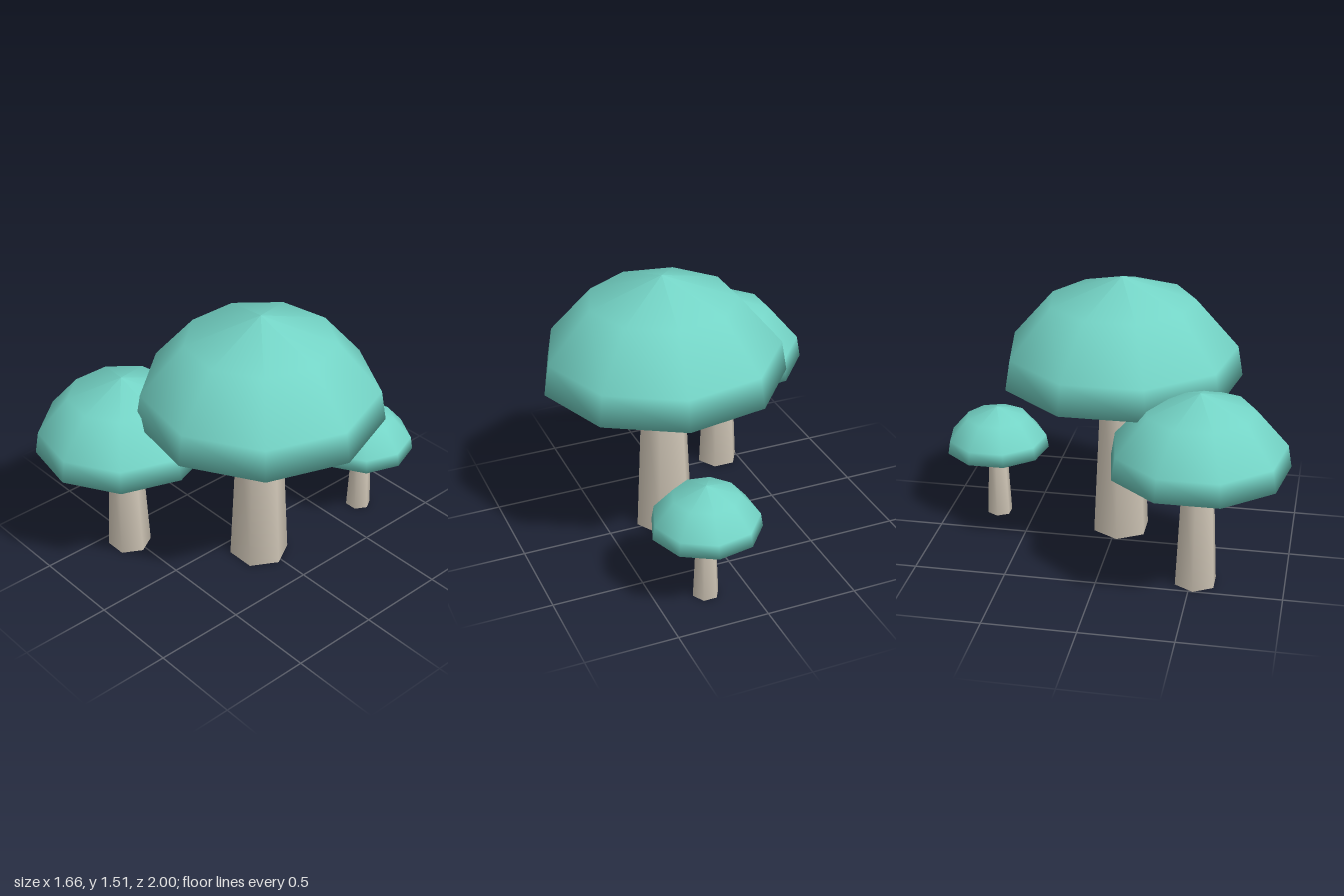
import * as THREE from 'three';

const capMaterial = new THREE.MeshStandardMaterial({ name: 'teal cap', color: 0x74d4c6 });
const stemMaterial = new THREE.MeshStandardMaterial({ name: 'cream stem', color: 0xd6ccbc });

// Smooth low-poly solid turned from [radius, height] pairs, first corner on +x
function turned(name, profile, sides, material) {
  const points = profile.map(([r, y]) => new THREE.Vector2(r, y));
  const mesh = new THREE.Mesh(new THREE.LatheGeometry(points, sides, Math.PI / 2), material);
  mesh.name = name;
  return mesh;
}

function createMushroom(name, x, z, scale) {
  const mushroom = new THREE.Group();
  mushroom.name = name;

  // Tapered six-sided stem, closed at the foot
  mushroom.add(turned('stem', [[0, 0], [0.165, 0], [0.12, 0.945]], 6, stemMaterial));

  // Nine-sided domed cap with a flat underside
  mushroom.add(turned('cap',
    [[0, 0.94], [0.665, 0.94], [0.637, 1.107], [0.402, 1.376], [0, 1.508]], 9, capMaterial));

  mushroom.position.set(x, 0, z);
  mushroom.scale.setScalar(scale);
  return mushroom;
}

export function createModel() {
  const group = new THREE.Group();
  group.name = 'mushroom cluster';
  group.add(
    createMushroom('largeMushroom', 0.163, 0.026, 1),
    createMushroom('mediumMushroom', -0.382, 0.525, 0.724),
    createMushroom('smallMushroom', 0.227, -0.709, 0.441),
  );
  return group;
}
